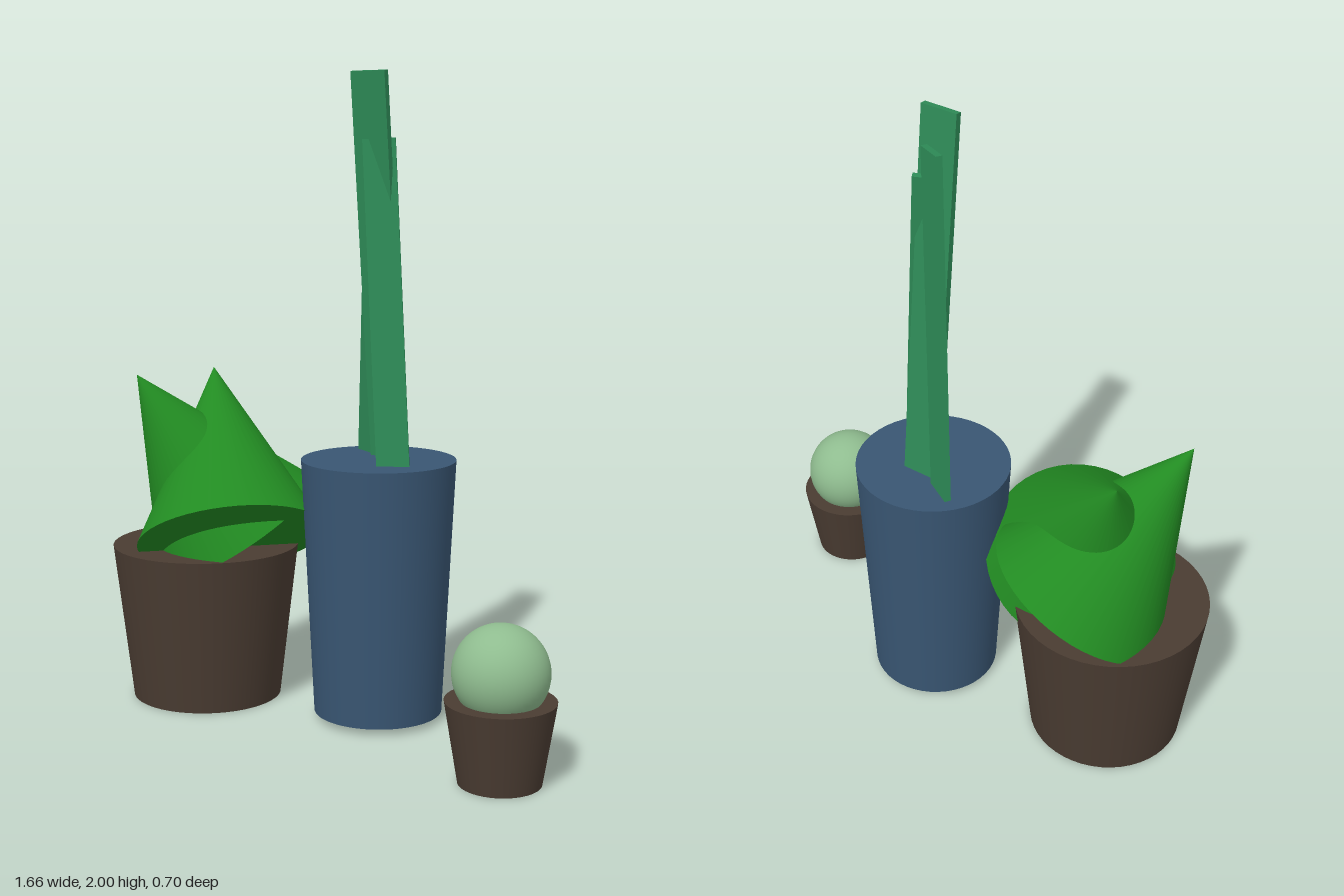
import * as THREE from 'three';

const mat = (name, color) => {
  const m = new THREE.MeshStandardMaterial({ color });
  m.name = name;
  return m;
};

export function createModel() {
  const brown = mat('brown clay', 0x4a3c32);
  const blue = mat('blue glaze', 0x395673);
  const leafGreen = mat('leaf green', 0x228b22);
  const bladeGreen = mat('blade green', 0x2e8b57);
  const cactusGreen = mat('cactus green', 0x8fbc8f);

  const model = new THREE.Group();
  model.name = 'pottedPlants';

  const plant = (name, x, z) => {
    const g = new THREE.Group();
    g.name = name;
    g.position.set(x, 0, z);
    model.add(g);
    return g;
  };
  const part = (group, name, geometry, material, pos, rot = [0, 0, 0]) => {
    const m = new THREE.Mesh(geometry, material);
    m.name = name;
    m.position.set(...pos);
    m.rotation.set(...rot);
    group.add(m);
  };
  // Tapered pot standing on height y
  const pot = (group, top, bottom, height, y, material) =>
    part(group, 'pot', new THREE.CylinderGeometry(top, bottom, height, 48), material, [0, y + height / 2, 0]);

  // Broad plant: two crossing cone leaves
  const broad = plant('broadLeafPlant', -0.533, -0.003);
  pot(broad, 0.3, 0.24, 0.5, 0, brown);
  for (const s of [1, -1]) {
    part(broad, s > 0 ? 'frontLeaf' : 'backLeaf', new THREE.ConeGeometry(0.3, 0.6, 48), leafGreen,
      [-0.04 * s, 0.8, 0.04 * s], [0.4 * s, 0, 0.4]);
  }

  // Tall plant: three leaning flat blades
  const tall = plant('tallBladePlant', 0.067, -0.106);
  pot(tall, 0.24, 0.2, 0.8, 0.02, blue);
  const blades = [
    ['middleBlade', 0.12, 1.2, [0, 1.4, 0], [0.1, 0, 0]],
    ['leftBlade', 0.1, 1.0, [0.058, 1.3, 0.052], [-0.1, 0.5, 0.1]],
    ['rightBlade', 0.1, 1.1, [-0.058, 1.35, -0.052], [0.05, -0.5, -0.1]],
  ];
  for (const [name, w, h, pos, rot] of blades) {
    part(tall, name, new THREE.BoxGeometry(w, h, 0.02), bladeGreen, pos, rot);
  }

  // Small round cactus
  const small = plant('smallCactus', 0.667, 0.194);
  pot(small, 0.16, 0.12, 0.24, 0, brown);
  part(small, 'cactusBall', new THREE.SphereGeometry(0.14, 40, 28), cactusGreen, [0, 0.32, 0]);

  return model;
}
